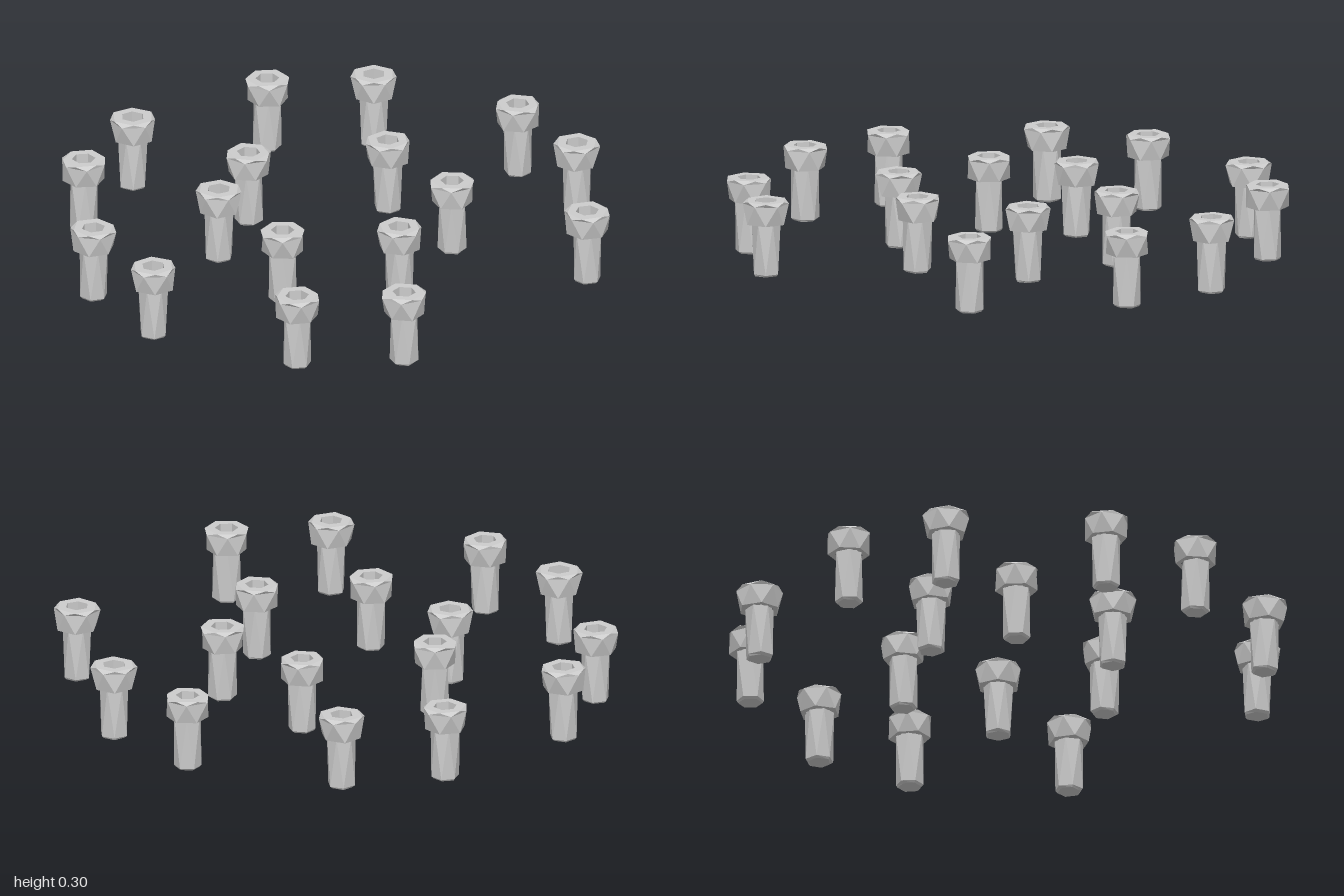
import * as THREE from 'three';

const SIDES = 6;

// Faceted surface through rings [y, radius, turn]; turn counts in sides, so 0.5 gives an antiprism band.
function loft(rings, jitter) {
  const pts = rings.map(([y, r, turn], k) =>
    Array.from({ length: SIDES }, (_, i) => {
      const a = ((i + turn) / SIDES) * Math.PI * 2;
      const rr = r * (1 + jitter(k, i));
      return [rr * Math.cos(a), y, -rr * Math.sin(a)];
    }));
  const out = [];
  for (let k = 0; k < rings.length - 1; k++) {
    for (let i = 0; i < SIDES; i++) {
      const j = (i + 1) % SIDES;
      const a = pts[k], b = pts[k + 1];
      if (rings[k][1] > 0) out.push(...a[i], ...a[j], ...b[i]);
      if (rings[k + 1][1] > 0) out.push(...a[j], ...b[j], ...b[i]);
    }
  }
  const g = new THREE.BufferGeometry();
  g.setAttribute('position', new THREE.Float32BufferAttribute(out, 3));
  g.computeVertexNormals();
  return g;
}

export function createModel() {
  const model = new THREE.Group();
  model.name = 'boltSet';
  const steel = new THREE.MeshStandardMaterial({ color: 0xcccccc, flatShading: true });
  steel.name = 'light steel grey';

  // bolt centres, x and z
  const spots = [
    [-0.335, -0.875], [0.245, -0.91], [-0.655, -0.66], [0.595, -0.73], [-0.015, -0.42],
    [0.36, -0.235], [0.915, -0.25], [-0.92, -0.145], [-0.405, -0.09], [-0.90, 0.245],
    [-0.345, 0.23], [0.385, 0.19], [0.03, 0.42], [-0.58, 0.73], [-0.23, 0.905],
    [0.675, 0.66], [0.35, 0.87],
  ];

  spots.forEach(([x, z], n) => {
    // small repeatable irregularity of the facets
    const wobble = (k, i) => 0.035 * Math.sin(n * 7.3 + k * 3.1 + i * 2.3);
    const even = () => 0;
    const bolt = new THREE.Group();
    bolt.name = 'bolt' + (n + 1);
    const add = (name, rings, jitter) => {
      const mesh = new THREE.Mesh(loft(rings, jitter), steel);
      mesh.name = name;
      bolt.add(mesh);
    };

    // shaft with a slight end chamfer and long diagonal facets
    add('shaft', [[0, 0, 0], [0, 0.043, 0], [0.008, 0.051, 0], [0.2, 0.053, 0.5]], wobble);
    // head: flat underside, flaring wall, narrow rim
    add('head', [[0.194, 0.05, 0], [0.194, 0.075, 0], [0.266, 0.083, 0.5], [0.278, 0.077, 1]], wobble);
    // top face around the hexagonal recess (first ring repeats the rim)
    add('topFace', [[0.278, 0.077, 1], [0.278, 0.043, 1]], (k, i) => (k === 0 ? wobble(3, i) : 0));
    add('socket', [[0.278, 0.043, 1], [0.2, 0.043, 1], [0.2, 0, 1]], even);

    bolt.position.set(x, 0.012 + 0.012 * x, z);
    bolt.rotation.y = n * 2.4;
    model.add(bolt);
  });
  return model;
}
